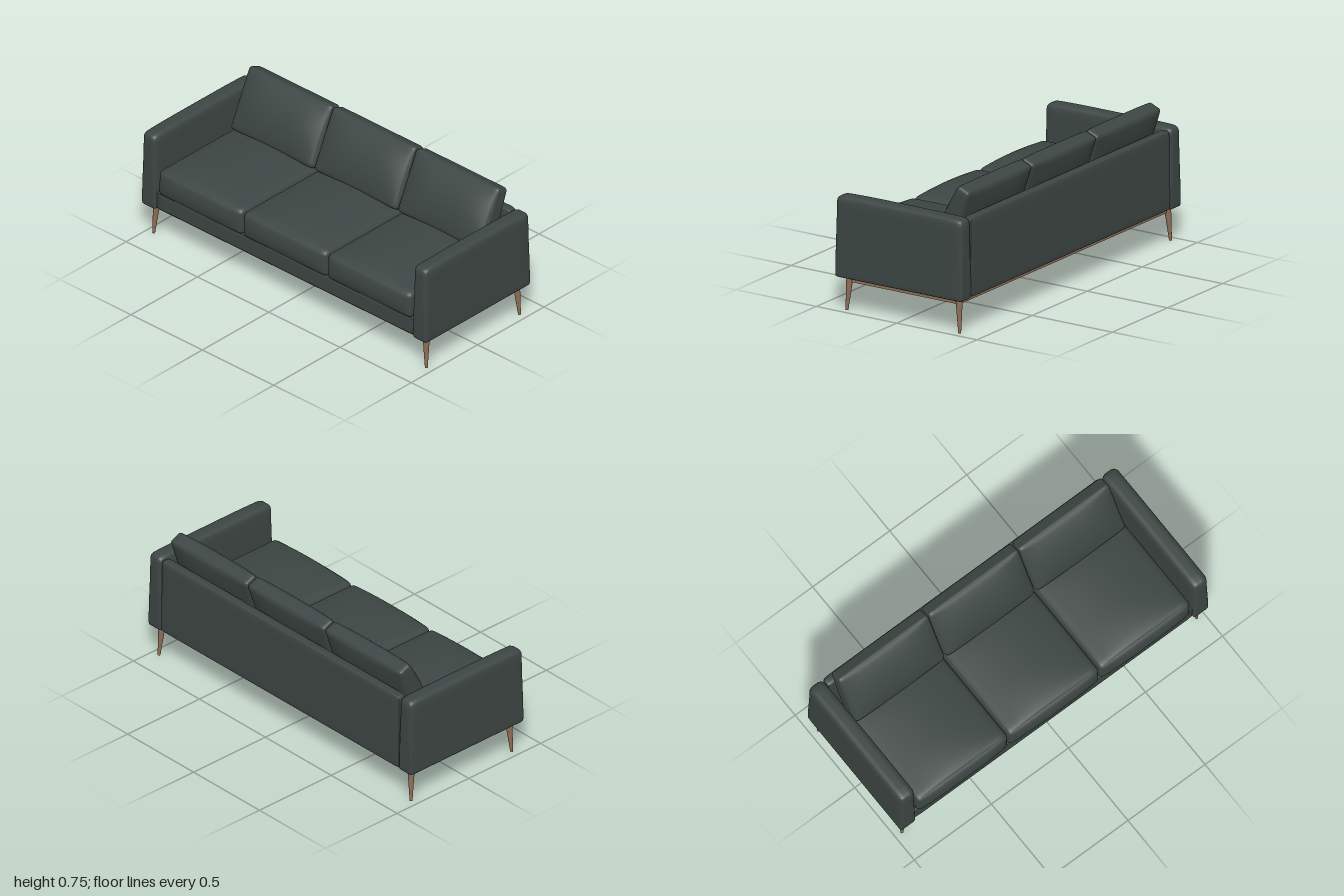
import * as THREE from 'three';
import { mergeVertices } from 'three/addons/utils/BufferGeometryUtils.js';

const fabric = new THREE.MeshStandardMaterial({ color: 0x3d4644 });
fabric.name = 'charcoal fabric';
const wood = new THREE.MeshStandardMaterial({ color: 0x8f6e56 });
wood.name = 'walnut wood';

// Rounded box with dense edges; rTop/rBottom are the edge radii, warp bends the result.
function softBox(w, h, d, rTop, rBottom, n, warp) {
  const geo = new THREE.BoxGeometry(2, 2, 2, n, n, n);
  geo.deleteAttribute('normal');
  geo.deleteAttribute('uv');
  const half = new THREE.Vector3(w / 2, h / 2, d / 2);
  const pos = geo.attributes.position;
  const p = new THREE.Vector3(), inner = new THREE.Vector3(), unit = new THREE.Vector3();
  const dense = (t) => Math.sin((t * Math.PI) / 2);
  for (let i = 0; i < pos.count; i++) {
    p.fromBufferAttribute(pos, i);
    unit.set(dense(p.x), dense(p.y), dense(p.z));
    p.copy(unit).multiply(half);
    const r = THREE.MathUtils.lerp(rBottom, rTop, THREE.MathUtils.smoothstep(unit.y, -0.8, 0.8));
    const lim = half.clone().subScalar(r);
    inner.copy(p).clamp(lim.clone().negate(), lim);
    p.sub(inner).setLength(r).add(inner);
    if (warp) warp(p, unit);
    pos.setXYZ(i, p.x, p.y, p.z);
  }
  const smooth = mergeVertices(geo, 1e-5);
  smooth.computeVertexNormals();
  return smooth;
}

export function createModel() {
  const sofa = new THREE.Group();
  sofa.name = 'sofa';
  const add = (name, geo, mat, x, y, z) => {
    const mesh = new THREE.Mesh(geo, mat);
    mesh.name = name;
    mesh.position.set(x, y, z);
    sofa.add(mesh);
    return mesh;
  };

  // Upholstered frame
  add('base', softBox(1.82, 0.1, 0.74, 0.012, 0.012, 10), fabric, 0, 0.233, 0.005);
  add('backPanel', softBox(1.81, 0.43, 0.06, 0.022, 0.015, 12), fabric, 0, 0.397, -0.371);
  const armGeo = softBox(0.098, 0.438, 0.79, 0.034, 0.014, 16, (p, u) => {
    // slight crown along the top
    if (u.y > 0) p.y += 0.006 * u.y * (1 - u.z ** 4);
  });
  for (const s of [-1, 1]) {
    add(s > 0 ? 'leftArm' : 'rightArm', armGeo, fabric, s * 0.951, 0.399, -0.007);
  }

  // Seat cushions with crowned tops and bulging fronts
  const seatGeo = softBox(0.588, 0.148, 0.68, 0.028, 0.024, 20, (p, u) => {
    const across = 1 - u.x * u.x;
    if (u.y > 0) p.y += 0.036 * u.y * across * (1 - u.z ** 4 * 0.75);
    if (u.z > 0) p.z += 0.02 * u.z * (1 - u.x ** 4) * (1 - u.y * u.y);
  });
  // Back cushions: thinner at the top, full in the middle
  const backGeo = softBox(0.582, 0.35, 0.1, 0.02, 0.024, 20, (p, u) => {
    p.z *= 1 - 0.2 * u.y;
    const belly = (1 - u.x ** 4) * (1 - u.y * u.y);
    p.z += u.z * (u.z > 0 ? 0.042 : 0.025) * belly;
  });
  ['right', 'centre', 'left'].forEach((side, i) => {
    add(side + 'SeatCushion', seatGeo, fabric, (i - 1) * 0.592, 0.354, 0.045);
    const back = add(side + 'BackCushion', backGeo, fabric, (i - 1) * 0.586, 0.583, -0.261);
    back.rotation.x = -0.4;
  });

  // Wooden rails under the frame
  for (const z of [0.322, -0.345]) {
    add(z > 0 ? 'frontRail' : 'backRail', new THREE.BoxGeometry(1.89, 0.034, 0.02), wood, 0, 0.168, z);
  }
  for (const s of [-1, 1]) {
    add(s > 0 ? 'leftRail' : 'rightRail', new THREE.BoxGeometry(0.02, 0.034, 0.66), wood, s * 0.94, 0.168, -0.012);
  }

  // Tapered legs, upright on their outer edges
  for (const sx of [-1, 1]) {
    for (const sz of [-1, 1]) {
      const leg = new THREE.CylinderGeometry(0.019, 0.0075, 0.185, 20, 4);
      const pos = leg.attributes.position;
      for (let i = 0; i < pos.count; i++) {
        const lean = 0.0115 * (0.5 - pos.getY(i) / 0.185);
        pos.setX(i, pos.getX(i) + sx * lean);
        pos.setZ(i, pos.getZ(i) + sz * lean);
      }
      leg.computeVertexNormals();
      const name = (sz > 0 ? 'front' : 'back') + (sx > 0 ? 'Left' : 'Right') + 'Leg';
      add(name, leg, wood, sx * 0.945, 0.0925, sz > 0 ? 0.328 : -0.351);
    }
  }
  return sofa;
}
